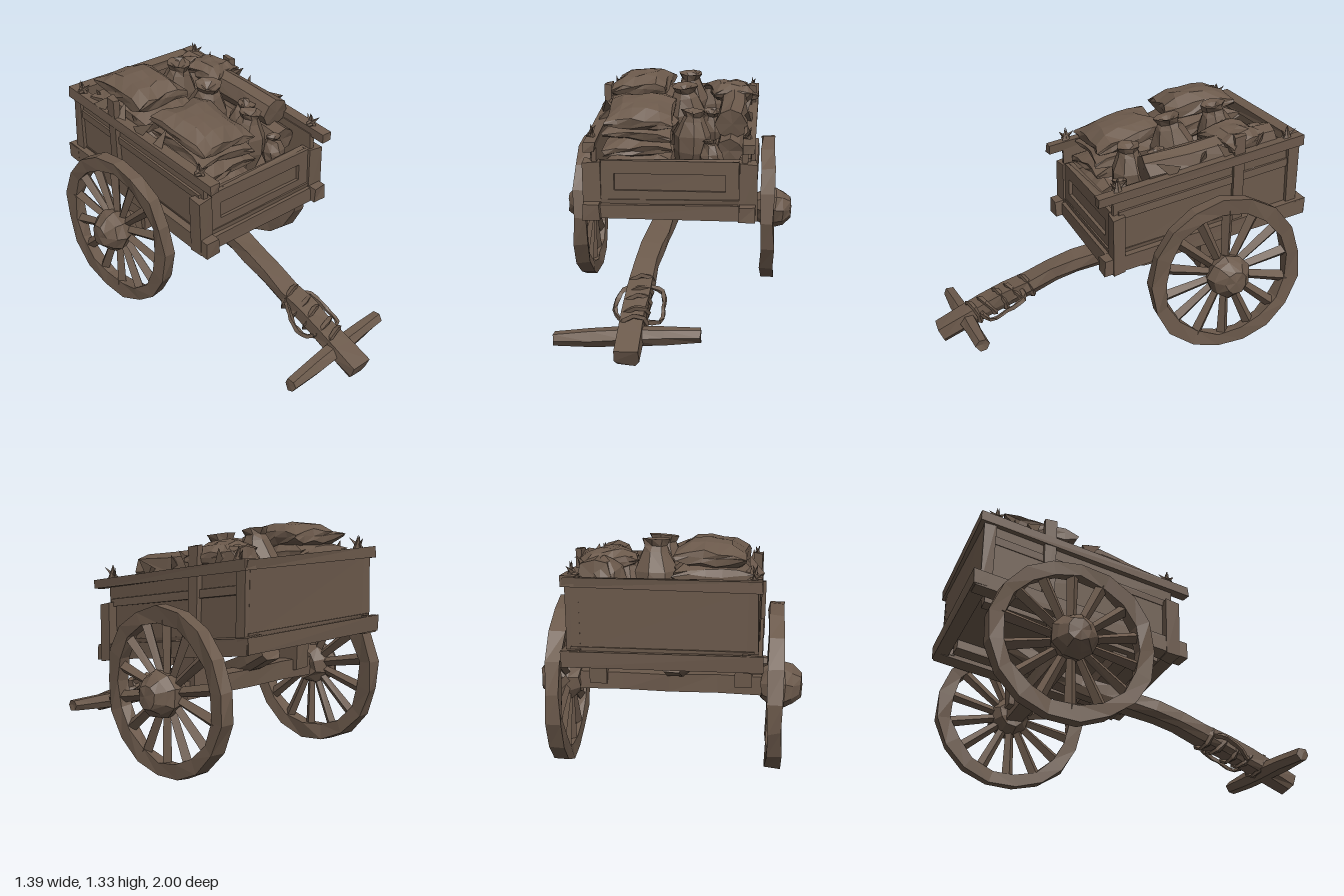
import * as THREE from 'three';

const wood = new THREE.MeshStandardMaterial({ color: 0x6b594b });
wood.name = 'weatheredBrown';
wood.flatShading = true;
wood.side = THREE.DoubleSide;

const SLOPE = 0.18; // the cart bed rises toward its back
const shear = new THREE.Matrix4().set(1, 0, 0, 0, 0, 1, -SLOPE, 0, 0, 0, 1, 0, 0, 0, 0, 1);

// Uneven, hand-hewn surface: nudge vertices by a repeatable position hash
function rough(geo, amount) {
  const p = geo.attributes.position;
  const hash = (a, b, c, k) => {
    const s = Math.sin(a * 12.99 + b * 78.23 + c * 37.72 + k * 4.1) * 437.58;
    return (s - Math.floor(s) - 0.5) * 2 * amount;
  };
  for (let i = 0; i < p.count; i++) {
    const q = [p.getX(i), p.getY(i), p.getZ(i)];
    const r = q.map(v => Math.round(v * 200) / 10);
    p.setXYZ(i, q[0] + hash(...r, 1), q[1] + hash(...r, 2), q[2] + hash(...r, 3));
  }
  geo.computeVertexNormals();
  return geo;
}

function add(parent, name, geo, pos = [0, 0, 0], rot = [0, 0, 0]) {
  const m = new THREE.Mesh(geo, wood);
  m.name = name;
  m.position.set(...pos);
  m.rotation.set(...rot);
  parent.add(m);
  return m;
}

// Beam of the sloping bed, given by its limits (y is the height at z = 0)
function bedBox(parent, name, x0, x1, y0, y1, z0, z1) {
  const g = new THREE.BoxGeometry(x1 - x0, y1 - y0, z1 - z0);
  g.translate((x0 + x1) / 2, (y0 + y1) / 2, (z0 + z1) / 2);
  return add(parent, name, rough(g.applyMatrix4(shear), 0.006));
}

const lathe = (pts, n) => new THREE.LatheGeometry(pts.map(p => new THREE.Vector2(...p)), n);

// Stuffed sack: a box thinned toward its edges
function sackGeometry(w, h, d) {
  const g = new THREE.BoxGeometry(w, h, d, 5, 2, 5), p = g.attributes.position;
  for (let i = 0; i < p.count; i++) {
    const u = 2 * p.getX(i) / w, v = 2 * p.getZ(i) / d;
    p.setY(i, p.getY(i) * (1 - 0.6 * u ** 4) * (1 - 0.6 * v ** 4));
    p.setX(i, p.getX(i) * (1 - 0.08 * (1 - v * v)));
    p.setZ(i, p.getZ(i) * (1 - 0.08 * (1 - u * u)));
  }
  return rough(g, 0.01);
}

function buildBed(cart) {
  const bed = new THREE.Group();
  bed.name = 'bed';
  bedBox(bed, 'floor', -0.44, 0.44, 0.65, 0.69, -0.96, 0.13);
  for (const s of [-1, 1]) {
    const side = (name, a, b, ...r) => bedBox(bed, name, Math.min(s * a, s * b), Math.max(s * a, s * b), ...r);
    side('sidePanel', 0.41, 0.44, 0.66, 1.0, -0.94, 0.12);
    side('bottomRail', 0.39, 0.485, 0.585, 0.675, -0.99, 0.185);
    side('topRail', 0.41, 0.475, 0.985, 1.04, -0.97, 0.215);
    side('sideBatten', 0.435, 0.452, 0.88, 0.92, -0.92, 0.1);
    side('frontPost', 0.39, 0.49, 0.58, 0.9, 0.07, 0.14);
    side('backPost', 0.39, 0.46, 0.6, 1.03, -0.95, -0.89);
    side('middlePost', 0.43, 0.47, 0.62, 1.14, -0.62, -0.56);
    side('underBeam', 0.26, 0.34, 0.59, 0.65, -0.9, 0.12);
    side('axleBlock', 0.34, 0.43, 0.4, 0.62, -0.56, -0.4);
    // Rag knots on the rail corners
    for (const z of [0.1, -0.88]) {
      for (let i = 0; i < 4; i++) {
        add(bed, 'ragKnot', new THREE.ConeGeometry(0.02, 0.09, 4),
          [s * 0.44, 1.065 - SLOPE * z, z + 0.012 * (i - 1.5)], [0.5 * (i - 1.5), i, 0.35 * (i % 2 ? 1 : -1)]);
      }
    }
  }
  bedBox(bed, 'frontPanel', -0.4, 0.4, 0.66, 0.9, 0.07, 0.1);
  bedBox(bed, 'backPanel', -0.43, 0.43, 0.66, 1.0, -0.95, -0.92);
  bedBox(bed, 'frontBeam', -0.39, 0.39, 0.585, 0.665, 0.08, 0.15);
  bedBox(bed, 'backBeam', -0.49, 0.48, 0.59, 0.67, -0.995, -0.92);
  bedBox(bed, 'backTopRail', -0.47, 0.47, 0.985, 1.035, -0.97, -0.91);

  // Framed board on the front
  const frame = new THREE.Shape([[-0.39, 0.645], [0.39, 0.645], [0.39, 0.885], [-0.39, 0.885]].map(p => new THREE.Vector2(...p)));
  frame.holes.push(new THREE.Path([[-0.315, 0.715], [-0.315, 0.81], [0.315, 0.81], [0.315, 0.715]].map(p => new THREE.Vector2(...p))));
  add(bed, 'frontFrame', new THREE.ExtrudeGeometry(frame, { depth: 0.025, bevelEnabled: false }), [0, 0, 0.098]);
  cart.add(bed);
}

function buildWheel(cart, s) {
  const wheel = new THREE.Group();
  wheel.name = s > 0 ? 'leftWheel' : 'rightWheel';
  wheel.position.set(s * 0.55, 0.5, -0.49);
  wheel.rotation.z = -s * Math.PI / 2;
  const rim = [[0.365, -0.033], [0.443, -0.038], [0.443, 0.038], [0.365, 0.033], [0.365, -0.033]];
  add(wheel, 'rim', rough(lathe(rim, 17), 0.008));
  const hub = [[0, -0.07], [0.08, -0.07], [0.11, -0.02], [0.125, 0.05], [0.105, 0.09], [0.06, 0.14], [0, 0.145]];
  add(wheel, 'hub', rough(lathe(hub, 9), 0.007));
  for (let i = 0; i < 14; i++) {
    const spoke = new THREE.Group();
    spoke.name = 'spoke';
    spoke.rotation.y = i * Math.PI / 7;
    add(spoke, 'spokeBar', rough(new THREE.CylinderGeometry(0.031, 0.023, 0.31, 4), 0.004), [0.225, 0, 0], [0, 0, -Math.PI / 2]);
    wheel.add(spoke);
  }
  cart.add(wheel);
}

function buildTongue(cart) {
  const tongue = new THREE.Group();
  tongue.name = 'tongue';
  const path = new THREE.CatmullRomCurve3([[-0.02, 0.67, -0.66], [-0.035, 0.53, -0.4], [-0.065, 0.435, -0.05], [-0.1, 0.37, 0.22],
    [-0.115, 0.265, 0.48], [-0.125, 0.17, 0.72], [-0.13, 0.05, 0.98]].map(p => new THREE.Vector3(...p)));
  const section = new THREE.Shape([[-0.06, -0.045], [0.06, -0.045], [0.065, 0.02], [0.04, 0.05], [-0.04, 0.05], [-0.065, 0.02]].map(p => new THREE.Vector2(...p)));
  add(tongue, 'pole', rough(new THREE.ExtrudeGeometry(section, { steps: 12, extrudePath: path }), 0.006));

  // Crossbar handle, thinner at both ends
  const bar = new THREE.CylinderGeometry(0.036, 0.036, 0.75, 6, 4), p = bar.attributes.position;
  for (let i = 0; i < p.count; i++) {
    const k = 1.5 - Math.abs(p.getY(i)) * 1.2;
    p.setX(i, p.getX(i) * k);
    p.setZ(i, p.getZ(i) * k);
  }
  add(tongue, 'crossbar', rough(bar, 0.005), [-0.145, 0.105, 0.825], [0, 0.04, -Math.PI / 2 + 0.05]);

  // Rope wound round the pole, with two hanging loops
  for (let i = 0; i < 5; i++) {
    const z = 0.46 + 0.08 * i;
    add(tongue, 'ropeWinding', rough(new THREE.TorusGeometry(0.068, 0.014, 4, 8), 0.006), [-0.115, 0.265 - (z - 0.46) * 0.37, z], [0.35 + 0.3 * (i % 2), 0.25, 0]);
  }
  const loop = (...pts) => add(tongue, 'ropeLoop', rough(new THREE.TubeGeometry(
    new THREE.CatmullRomCurve3(pts.map(q => new THREE.Vector3(...q))), 10, 0.014, 4), 0.005));
  loop([-0.06, 0.27, 0.5], [0.0, 0.25, 0.5], [0.02, 0.2, 0.6], [0.015, 0.15, 0.7], [-0.06, 0.16, 0.75]);
  loop([-0.16, 0.27, 0.48], [-0.21, 0.25, 0.54], [-0.235, 0.19, 0.62], [-0.2, 0.15, 0.68], [-0.16, 0.17, 0.72]);
  cart.add(tongue);
}

function buildCargo(cart) {
  const cargo = new THREE.Group();
  cargo.name = 'cargo';
  const put = (name, geo, x, y, z, rx = SLOPE, ry = 0, rz = 0) => add(cargo, name, geo, [x, y, z], [rx, ry, rz]);

  // Front stack of sacks
  put('sack', sackGeometry(0.4, 0.16, 0.42), -0.19, 0.85, -0.14);
  put('sack', sackGeometry(0.39, 0.12, 0.42), -0.2, 0.96, -0.14, SLOPE, 0.05, 0.04);
  put('sack', sackGeometry(0.4, 0.11, 0.42), -0.185, 1.045, -0.15, SLOPE, -0.05, -0.05);
  put('sack', sackGeometry(0.39, 0.15, 0.43), -0.19, 1.125, -0.15, 0.26, 0.02, -0.03);

  // Back stack
  put('sack', sackGeometry(0.42, 0.24, 0.46), -0.2, 1.0, -0.62);
  put('sack', sackGeometry(0.4, 0.17, 0.44), -0.22, 1.15, -0.61, SLOPE, 0.08);
  put('sack', sackGeometry(0.34, 0.16, 0.42), -0.23, 1.245, -0.61, 0.13, -0.06, 0.04);

  // Pots and jugs along the middle
  const pot = (r, h) => rough(lathe([[0, 0], [0.75 * r, 0], [r, 0.35 * h], [0.95 * r, 0.6 * h], [0.6 * r, 0.84 * h],
    [0.48 * r, 0.91 * h], [0.6 * r, h], [0.35 * r, 0.97 * h], [0, 0.9 * h]], 8), 0.006);
  for (const [x, y, z, r, h, rz] of [[0.1, 0.8, -0.12, 0.11, 0.35, -0.08], [0.06, 0.88, -0.42, 0.13, 0.39, 0.05],
    [0.06, 0.93, -0.68, 0.12, 0.39, 0], [0.24, 0.79, 0, 0.07, 0.2, -0.2], [0.2, 0.95, -0.66, 0.09, 0.29, -0.15], [0.21, 0.88, -0.28, 0.09, 0.26, 0.1]]) {
    put('pot', pot(r, h), x, y, z, SLOPE, x * 9, rz);
  }
  put('lowBundle', sackGeometry(0.34, 0.22, 0.7), 0.24, 0.92, -0.42);

  // Long rolls of cloth against the left side, and a bundle at the back corner
  const roll = (r, l) => rough(new THREE.CylinderGeometry(r, r, l, 8, 3), 0.008);
  put('clothRoll', roll(0.09, 0.76), 0.335, 1.12, -0.46, Math.PI / 2 + 0.14);
  put('clothRoll', roll(0.08, 0.7), 0.34, 0.98, -0.36, Math.PI / 2 + SLOPE, 0, 0.04);
  put('roundBundle', rough(new THREE.IcosahedronGeometry(0.11, 1), 0.012), 0.3, 1.14, -0.75);
  put('crumpledCloth', sackGeometry(0.28, 0.12, 0.26), 0.31, 1.2, -0.62, 0.1, 0.3, -0.12);

  // Ragged scraps sticking out of the load
  for (let i = 0; i < 12; i++) {
    const left = i % 2 ? 1 : -1, z = -0.78 + 0.055 * i;
    put('scrap', new THREE.ConeGeometry(0.045, 0.13, 3), left * (0.39 + 0.02 * (i % 3)), 1.04 - SLOPE * z + 0.02 * (i % 3), z,
      0.5 * Math.sin(i * 2), i, -left * (0.5 + 0.3 * (i % 3)));
  }
  cart.add(cargo);
}

export function createModel() {
  const cart = new THREE.Group();
  cart.name = 'handCart';
  buildBed(cart);
  for (const s of [-1, 1]) buildWheel(cart, s);
  add(cart, 'axle', rough(new THREE.BoxGeometry(1.0, 0.1, 0.1, 4, 1, 1), 0.006), [0, 0.5, -0.48]);
  add(cart, 'frontBolster', rough(new THREE.BoxGeometry(0.6, 0.07, 0.08), 0.006), [0, 0.58, -0.12]);
  buildTongue(cart);
  buildCargo(cart);
  return cart;
}
